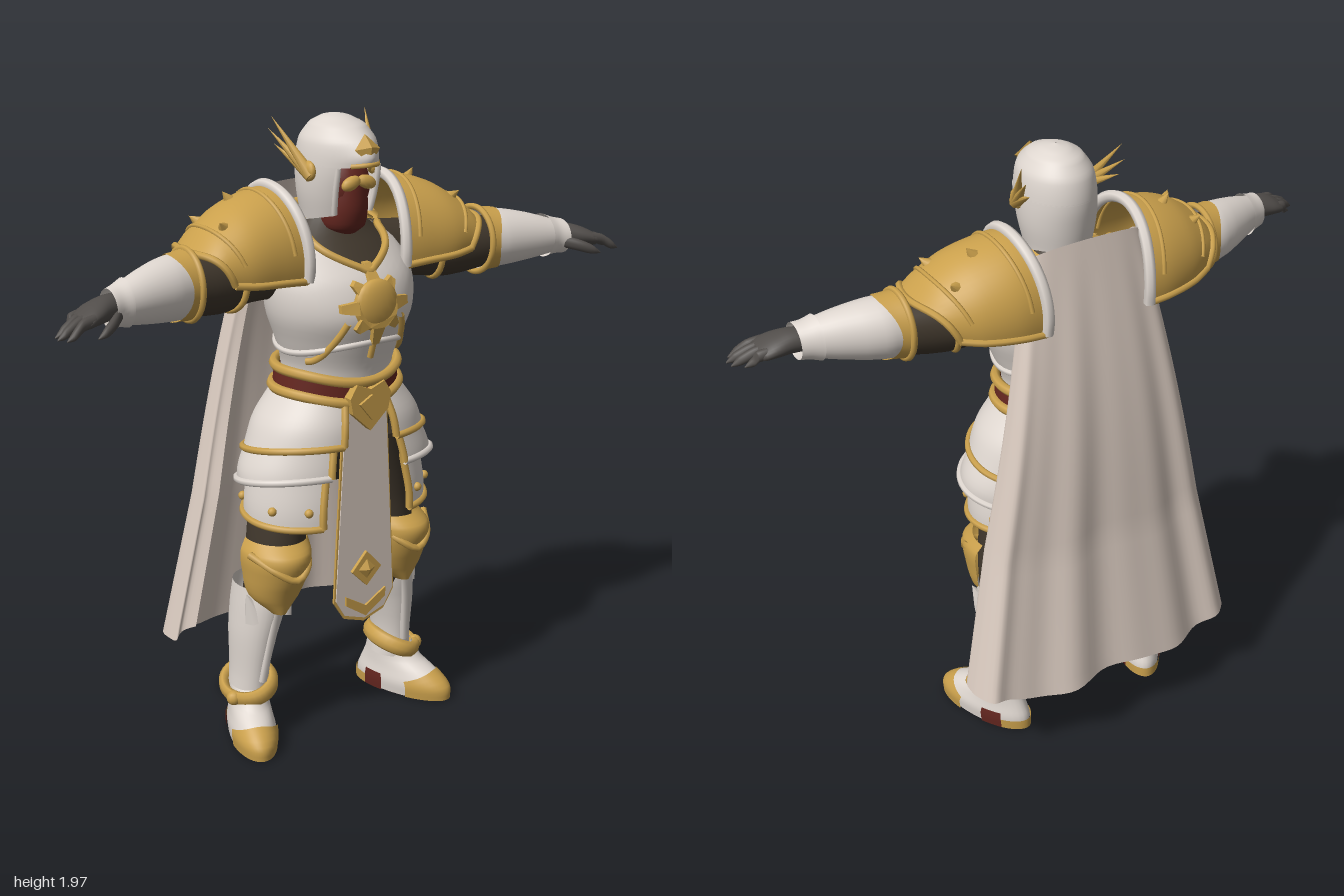
import * as THREE from 'three';
import { mergeVertices } from 'three/addons/utils/BufferGeometryUtils.js';

// Plates and cloth are open shells, so every colour is double sided
const paint = (name, hex) => {
  const m = new THREE.MeshStandardMaterial({ color: hex, side: THREE.DoubleSide });
  m.name = name;
  return m;
};
const D = Math.PI / 180;
const V = (x, y, z) => new THREE.Vector3(x, y, z);

// Smooth surface from a rule fn(u, v), u and v in 0..1, welded at seams
function grid(fn, nu, nv) {
  const pos = [], idx = [];
  for (let j = 0; j <= nv; j++)
    for (let i = 0; i <= nu; i++) pos.push(...fn(i / nu, j / nv).toArray());
  for (let j = 0; j < nv; j++)
    for (let i = 0; i < nu; i++) {
      const a = j * (nu + 1) + i, b = a + 1, c = a + nu + 1, d = c + 1;
      idx.push(a, b, d, a, d, c);
    }
  let g = new THREE.BufferGeometry();
  g.setAttribute('position', new THREE.Float32BufferAttribute(pos, 3));
  g.setIndex(idx);
  g = mergeVertices(g, 1e-4);
  g.computeVertexNormals();
  return g;
}

// Rings: [y, cx, cz, rx, rz], or [x, cz, cy, rz, ry] when alongX.
// Returns point(angle in degrees, position along the axis, outward offset)
function surface(rings, alongX = false) {
  const c = new THREE.CatmullRomCurve3(rings.map(r => V(r[1], r[2], 0)), false, 'catmullrom');
  const q = new THREE.CatmullRomCurve3(rings.map(r => V(r[3], r[4], 0)), false, 'catmullrom');
  const n = rings.length - 1;
  return (deg, s, off = 0) => {
    let i = 0;
    while (i < n - 1 && s > rings[i + 1][0]) i++;
    const f = THREE.MathUtils.clamp((s - rings[i][0]) / (rings[i + 1][0] - rings[i][0]), 0, 1);
    const t = (i + f) / n, m = c.getPoint(t), r = q.getPoint(t);
    const p = m.x + (r.x + off) * Math.sin(deg * D), w = m.y + (r.y + off) * Math.cos(deg * D);
    return alongX ? V(s, w, p) : V(p, s, w);
  };
}
function loft(rings, { alongX = false, from = 0, to = 360, n = 32, sub = 4 } = {}) {
  const f = surface(rings, alongX), k = rings.length - 1;
  return grid((u, v) => {
    const i = Math.min(k - 1, Math.floor(v * k + 1e-6)), t = v * k - i;
    return f(from + (to - from) * u, rings[i][0] + (rings[i + 1][0] - rings[i][0]) * t);
  }, n, k * sub);
}
const tube = (pts, r, closed = false) =>
  new THREE.TubeGeometry(new THREE.CatmullRomCurve3(pts, closed), Math.max(16, pts.length * 3), r, 7, closed);
const range = (a, b, n, fn) => Array.from({ length: n + 1 }, (_, i) => fn(a + (b - a) * i / n));
const plate = (pts, depth) => new THREE.ExtrudeGeometry(
  new THREE.Shape(pts.map(p => new THREE.Vector2(...p))), { depth, bevelEnabled: false });
function spike(a, b, r) {
  const d = b.clone().sub(a), g = new THREE.ConeGeometry(r, d.length(), 8);
  g.translate(0, d.length() / 2, 0);
  g.applyQuaternion(new THREE.Quaternion().setFromUnitVectors(V(0, 1, 0), d.normalize()));
  return g.translate(a.x, a.y, a.z);
}

export function createModel() {
  const white = paint('white armour', 0xded6cf), gold = paint('gold', 0xcaa04c);
  const cloth = paint('pale cloth', 0xdacbc0), red = paint('dark red', 0x64261f);
  const suit = paint('dark brown suit', 0x40372c), glove = paint('grey glove', 0x514d4a);
  const model = new THREE.Group();
  const add = (parent, name, geo, mat) => {
    const m = new THREE.Mesh(geo, mat);
    m.name = name;
    parent.add(m);
    return m;
  };

  // Torso: undersuit, and a breastplate with a V neckline
  const body = [[1.1, 0, .075, .185, .155], [1.22, 0, .08, .175, .16], [1.3, 0, .09, .2, .175],
    [1.4, 0, .095, .235, .2], [1.5, 0, .085, .24, .185], [1.58, 0, .055, .21, .15],
    [1.65, 0, .04, .13, .105], [1.7, 0, .04, .08, .08]];
  const chest = surface(body);
  add(model, 'undersuit', loft(body.map(([y, x, z, a, b]) => [y, x, z, a - .012, b - .012])), suit);
  const neckline = a => 1.53 + .1 * Math.min(1, Math.abs(a) / 55);
  add(model, 'breastplate', grid((u, v) => {
    const a = -180 + 360 * u;
    return chest(a, 1.18 + (neckline(a) - 1.18) * v);
  }, 48, 20), white);
  add(model, 'necklineTrim', tube(range(-70, 70, 24, a => chest(a, neckline(a), .004)), .012), gold);
  add(model, 'ribRim', tube(range(-180, 170, 35, a => chest(a, 1.3 + .02 * Math.cos(2 * a * D), .001)), .01, true), white);
  add(model, 'chestRidge', tube(range(1.27, 1.36, 4, y => chest(0, y, .003)), .01), gold);
  for (const s of [-1, 1])
    add(model, 'ribTrim', tube(range(0, 1, 6, t => chest(s * (62 - 38 * t), 1.26 + .13 * t * t, .003)), .011), gold);
  // Sun emblem wrapped onto the chest
  const sun = plate(range(0, 31, 31, i => {
    const r = i % 4 < 2 ? (i % 8 < 2 ? .12 : .1) : .07, a = (i - .5) * Math.PI / 16;
    return [r * Math.sin(a), r * Math.cos(a)];
  }), .02);
  const sp = sun.attributes.position;
  for (let i = 0; i < sp.count; i++) {
    const a = Math.asin(sp.getX(i) / .235) / D;
    sp.setZ(i, sp.getZ(i) + chest(a, 1.435 + sp.getY(i)).z - .004);
  }
  sun.computeVertexNormals();
  add(model, 'sunEmblem', sun.translate(0, 1.435, 0), gold);
  add(model, 'sunDisc', new THREE.SphereGeometry(.078, 20, 12).scale(1, 1, .38).translate(0, 1.435, .282), gold);

  // Belt and buckle
  const belt = surface([[1.08, 0, .075, .208, .17], [1.25, 0, .078, .192, .168]]);
  const dip = a => -.03 * Math.max(0, Math.cos(a * D)) ** 3;
  add(model, 'belt', grid((u, v) => belt(u * 360, 1.15 + .065 * v + dip(u * 360)), 40, 3), red);
  for (const y of [1.155, 1.22])
    add(model, 'beltTrim', tube(range(0, 350, 35, a => belt(a, y + dip(a), .001)), .016, true), gold);
  add(model, 'buckle', plate([[-.075, 1.15], [-.05, 1.19], [0, 1.17], [.05, 1.19], [.075, 1.15], [.065, 1.1], [0, 1.04], [-.065, 1.1]], .035).translate(0, 0, .23), gold);
  add(model, 'buckleBoss', plate([[0, 1.155], [.045, 1.13], [0, 1.075], [-.045, 1.13]], .012).translate(0, 0, .262), gold);

  // Hips and hanging front cloth
  add(model, 'hips', loft([[.84, 0, .06, .06, .06], [.92, 0, .06, .17, .12], [1.02, 0, .07, .19, .14], [1.16, 0, .075, .18, .145]]), suit);
  const panel = (w, b) => [[-.075 - w, 1.1], [-.108 - w, .49 - b / 2], [-.075, .435 - b], [0, .41 - b], [.075, .435 - b], [.108 + w, .49 - b / 2], [.075 + w, 1.1]];
  add(model, 'tabardBorder', plate(panel(.006, .012), .008).translate(0, 0, .229), gold);
  add(model, 'tabard', plate(panel(0, 0), .016).translate(0, 0, .225), cloth);
  add(model, 'tabardChevron', plate([[-.075, .5], [0, .455], [.075, .5], [.075, .47], [0, .42], [-.075, .47]], .008).translate(0, 0, .24), gold);
  add(model, 'tabardDiamond', plate([[0, .64], [.055, .58], [0, .525], [-.055, .58]], .012).translate(0, 0, .24), gold);
  add(model, 'tabardStud', new THREE.OctahedronGeometry(.032).scale(1, 1, .5).translate(0, .582, .252), gold);

  // Helmet, face and beard
  const helm = [[1.665, 0, .07, .098, .108], [1.75, 0, .075, .114, .128], [1.83, 0, .08, .116, .14],
    [1.9, 0, .083, .106, .13], [1.945, 0, .08, .075, .092], [1.965, 0, .075, .038, .046], [1.972, 0, .075, .002, .002]];
  const skull = surface(helm);
  const peak = (a, y, off = 0) => {
    const p = skull(a, y, off);
    p.z += .04 * Math.max(0, Math.cos(a * D)) ** 10 * Math.max(0, 1 - Math.abs(y - 1.86) / .09);
    return p;
  };
  const brow = a => 1.83 + .008 * Math.max(0, Math.cos(a * D)) ** 12;
  add(model, 'helmetDome', grid((u, v) => peak(u * 360, brow(u * 360) + (1.972 - brow(u * 360)) * (1 - (1 - v) ** 2)), 48, 20), white);
  add(model, 'helmetCheeks', grid((u, v) => skull(38 + 284 * u, 1.665 + .17 * v + .025 * (1 - v) * Math.cos(38 * D + 284 * u * D)), 40, 10), white);
  add(model, 'browTrim', tube(range(-24, 24, 14, a => peak(a, brow(a) + .004, .002)), .007), gold);
  add(model, 'browDiamond', new THREE.OctahedronGeometry(.045).scale(1, 1, .5).rotateX(-.35).translate(0, 1.885, .236), gold);
  for (const s of [-1, 1]) {
    add(model, 'cheekRim', tube(range(1.69, 1.83, 6, y => skull(s * 38, y)), .009), white);
    add(model, 'moustache', new THREE.SphereGeometry(.034, 12, 8).scale(1, .6, .5).rotateZ(-s * .35).translate(s * .028, 1.782, .194), gold);
  }
  add(model, 'face', new THREE.SphereGeometry(.1, 24, 16).scale(.9, 1.05, 1).translate(0, 1.765, .09), red);
  add(model, 'beard', loft([[1.62, 0, .12, .03, .03], [1.645, 0, .115, .065, .065], [1.7, 0, .115, .07, .08], [1.77, 0, .11, .065, .085]]), red);
  add(model, 'collar', tube(range(-100, 100, 16, a => V(.165 * Math.sin(a * D), 1.645 + .03 * Math.cos(a * D), .02 - .12 * Math.cos(a * D))), .02), gold);
  add(model, 'innerCollar', loft([[1.63, 0, .03, .16, .12], [1.67, 0, .05, .095, .09]], { from: 80, to: 280 }), gold);

  // Cape: widens downward, side edges curl forward
  add(model, 'cape', grid((u, v) => {
    const s = u * 2 - 1, t = 1 - v, th = s * 118 * D, c = Math.cos(th);
    const w = .19 + .285 * t, d = .05 + .07 * t;
    const fold = .013 * t * Math.cos(s * 17) + .006 * t * Math.sin(s * 29);
    const top = 1.75 - .06 * s * s, end = .27 + .08 * s * s + .012 * Math.cos(s * 12);
    return V(w * Math.sin(th), top + (end - top) * t,
      -.115 - .18 * t - .025 * Math.sin(Math.PI * Math.min(1, t * 1.5)) + d * (1 - Math.sign(c) * Math.sqrt(Math.abs(c))) + fold);
  }, 72, 30), cloth);

  for (const s of [1, -1]) {
    const label = s > 0 ? 'left' : 'right';
    const part = name => {
      const g = new THREE.Group();
      g.name = label + name;
      g.scale.x = s;
      model.add(g);
      return g;
    };

    // Helmet wing
    const wing = part('HelmetWing');
    [[.168, 1.965, -.015], [.165, 1.925, -.035], [.15, 1.88, -.03]].forEach(p =>
      add(wing, 'feather', spike(V(.113, 1.8, .115), V(...p), .02), gold));
    add(wing, 'wingRoot', new THREE.SphereGeometry(.03, 12, 8).scale(.5, 1, 1).translate(.115, 1.815, .105), gold);

    // Arm
    const arm = part('Arm'), X = { alongX: true };
    add(arm, 'sleeve', loft([[.15, .03, 1.53, .1, .1], [.3, .04, 1.525, .09, .09], [.42, .065, 1.515, .088, .092], [.6, .1, 1.525, .07, .075]], X), suit);
    add(arm, 'armBand', new THREE.TorusGeometry(.091, .01, 8, 28).rotateY(Math.PI / 2 - .2).translate(.375, 1.517, .057), gold);
    add(arm, 'vambrace', loft([[.535, .09, 1.53, .088, .095], [.6, .103, 1.53, .09, .093], [.7, .132, 1.527, .072, .076], [.79, .16, 1.522, .05, .053]], X), white);
    const cf = surface([[.515, .085, 1.53, .098, .105], [.56, .095, 1.53, .094, .1], [.61, .105, 1.53, .094, .096]], true);
    const cuffEnd = a => .555 + .035 * Math.cos(a * D) ** 2;
    add(arm, 'elbowCuff', grid((u, v) => cf(u * 360, .52 + v * (cuffEnd(u * 360) - .52)), 40, 8), gold);
    add(arm, 'cuffRim', tube(range(0, 345, 23, a => cf(a, .525)), .01, true), gold);
    add(arm, 'wristGuard', loft([[.755, .15, 1.525, .066, .07], [.785, .158, 1.523, .058, .06], [.815, .17, 1.52, .056, .056]], X), white);
    add(arm, 'palm', loft([[.77, .158, 1.525, .035, .035], [.83, .175, 1.525, .046, .036], [.88, .188, 1.517, .058, .03], [.92, .198, 1.506, .052, .02], [.925, .2, 1.505, .002, .002]], X), glove);
    [-1.5, -.5, .5, 1.5].forEach((k, i) => {
      const e = [.965, .995, 1, .985][i], z = .195 + k * .026;
      add(arm, 'finger', loft([[.89, z, 1.514, .016, .018], [.93, z + .008, 1.507, .015, .017], [e - .025, z + .02, 1.488, .013, .014], [e, z + .025, 1.475, .002, .002]], { alongX: true, n: 12 }), glove);
    });
    add(arm, 'thumb', loft([[.79, .195, 1.51, .015, .018], [.83, .235, 1.5, .018, .019], [.87, .262, 1.485, .014, .015], [.9, .272, 1.472, .002, .002]], { alongX: true, n: 12 }), glove);

    // Shoulder plate: outer edge slants inward toward the bottom
    const sh = part('Pauldron');
    const P = surface([[.165, .015, 1.555, .18, .215], [.26, .02, 1.56, .185, .2], [.36, .035, 1.56, .175, .17],
      [.45, .05, 1.56, .145, .115], [.505, .06, 1.555, .12, .06]], true);
    const S = (a, v, off) => {
      const x0 = .2 - .025 * Math.sin(a * D) ** 2, x1 = .505 - .065 * (1 - Math.cos(a * D));
      return P(a, x0 + (x1 - x0) * v, off);
    };
    add(sh, 'shoulderPlate', grid((u, v) => S(-102 + 204 * u, v), 32, 16), gold);
    add(sh, 'innerRim', tube(range(-102, 102, 18, a => S(a, 0, .002)), .018), white);
    add(sh, 'outerRim', tube(range(-102, 102, 18, a => S(a, 1, .002)), .011), gold);
    for (const a of [-102, 102]) add(sh, 'lowerRim', tube(range(0, 1, 8, v => S(a, v, .002)), .011), gold);
    for (const v of [.18, .8]) add(sh, 'frame', tube(range(-80, 80, 16, a => S(a, v)), .007), gold);
    for (const [a, v] of [[-35, .7], [25, .7], [-10, .4]]) add(sh, 'spike', spike(S(a, v, -.01), S(a, v + .08, .03), .02), gold);

    // Hip plates, three overlapping tiers
    const hip = part('HipPlates');
    [[[[.76, .11, .075, .2, .178], [.93, .09, .075, .2, .165]], 15],
      [[[.875, .105, .075, .228, .182], [1.02, .09, .075, .195, .165]], 8],
      [[[.97, .09, .075, .215, .19], [1.06, .08, .075, .19, .182], [1.14, .065, .075, .145, .155]], 3]].forEach(([r, a0], tier) => {
      const f = surface(r), lo = r[0][0], hi = r[r.length - 1][0];
      const low = a => lo + .035 * Math.cos((a - 20) * D) * (tier ? 1 : -.3);
      add(hip, 'hipPlate', grid((u, v) => { const a = a0 + (172 - a0) * u; return f(a, low(a) + (hi - low(a)) * v); }, 30, 8), white);
      add(hip, 'hipFrontTrim', tube(range(hi, low(a0), 6, y => f(a0, y, .002)), .012), gold);
      add(hip, 'hipEdge', tube(range(a0, 172, 18, a => f(a, low(a), .002)), .011), tier === 1 ? white : gold);
      if (!tier) for (const a of [28, 62, 118, 150]) add(hip, 'rivet', new THREE.SphereGeometry(.014, 10, 8).translate(...f(a, .805, .003).toArray()), gold);
    });

    // Leg
    const leg = part('Leg');
    add(leg, 'thigh', loft([[.42, .24, .03, .07, .075], [.6, .215, .05, .085, .1], [.76, .19, .05, .092, .11], [.98, .125, .06, .115, .125]]), suit);
    add(leg, 'kneePlate', loft([[.445, .24, .1, .025, .045], [.5, .235, .075, .08, .09], [.58, .23, .075, .1, .125], [.645, .228, .075, .105, .138], [.685, .215, .06, .095, .11]], { from: -105, to: 105 }), gold);
    add(leg, 'kneeRidge', tube([V(.13, .655, .1), V(.18, .61, .19), V(.23, .58, .208), V(.285, .61, .185), V(.335, .655, .1)], .012), gold);
    add(leg, 'greave', loft([[.13, .28, -.005, .062, .08], [.22, .28, 0, .055, .083], [.35, .268, .005, .068, .1], [.45, .25, .01, .08, .108], [.52, .24, .012, .084, .1]]), white);
    add(leg, 'shinRidge', tube([V(.245, .46, .108), V(.262, .36, .1), V(.28, .2, .078)], .014), white);
    for (const k of [-1, 1]) add(leg, 'greaveFlare', spike(V(.245 + k * .045, .42, .06), V(.245 + k * .085, .51, .07), .04), white);
    add(leg, 'ankleBand', new THREE.TorusGeometry(.08, .018, 8, 32).rotateX(Math.PI / 2).scale(.95, 1.6, 1.12).rotateZ(-.38).rotateX(.12).translate(.285, .17, .003), gold);
    add(leg, 'ankleStud', new THREE.SphereGeometry(.024, 12, 8).translate(.36, .145, .035), gold);

    // Foot turned outward: gold toe and heel, red arch and sole
    const foot = new THREE.Group();
    foot.name = 'foot';
    foot.position.set(.285, 0, 0);
    foot.rotation.y = .36;
    leg.add(foot);
    const shoe = [[.004, 0, .05, .07, .178], [.045, 0, .05, .074, .176], [.085, 0, .035, .067, .145], [.12, 0, .01, .062, .105], [.17, 0, -.005, .058, .078]];
    const B = surface(shoe);
    add(foot, 'boot', loft(shoe), white);
    add(foot, 'sole', loft([[0, 0, .05, .002, .002], [.001, 0, .05, .066, .172], [.005, 0, .05, .07, .178]], { sub: 1 }), red);
    add(foot, 'toeCap', grid((u, v) => B(-72 + 144 * u, .003 + (.055 + .035 * Math.cos((u - .5) * Math.PI)) * v, .005), 24, 6), gold);
    add(foot, 'heelCap', grid((u, v) => B(128 + 104 * u, .003 + .035 * v, .005), 14, 3), gold);
    for (const a of [102, 232]) add(foot, 'archPatch', grid((u, v) => B(a + 26 * u, .003 + .06 * v, .005), 8, 3), red);
  }
  return model;
}
